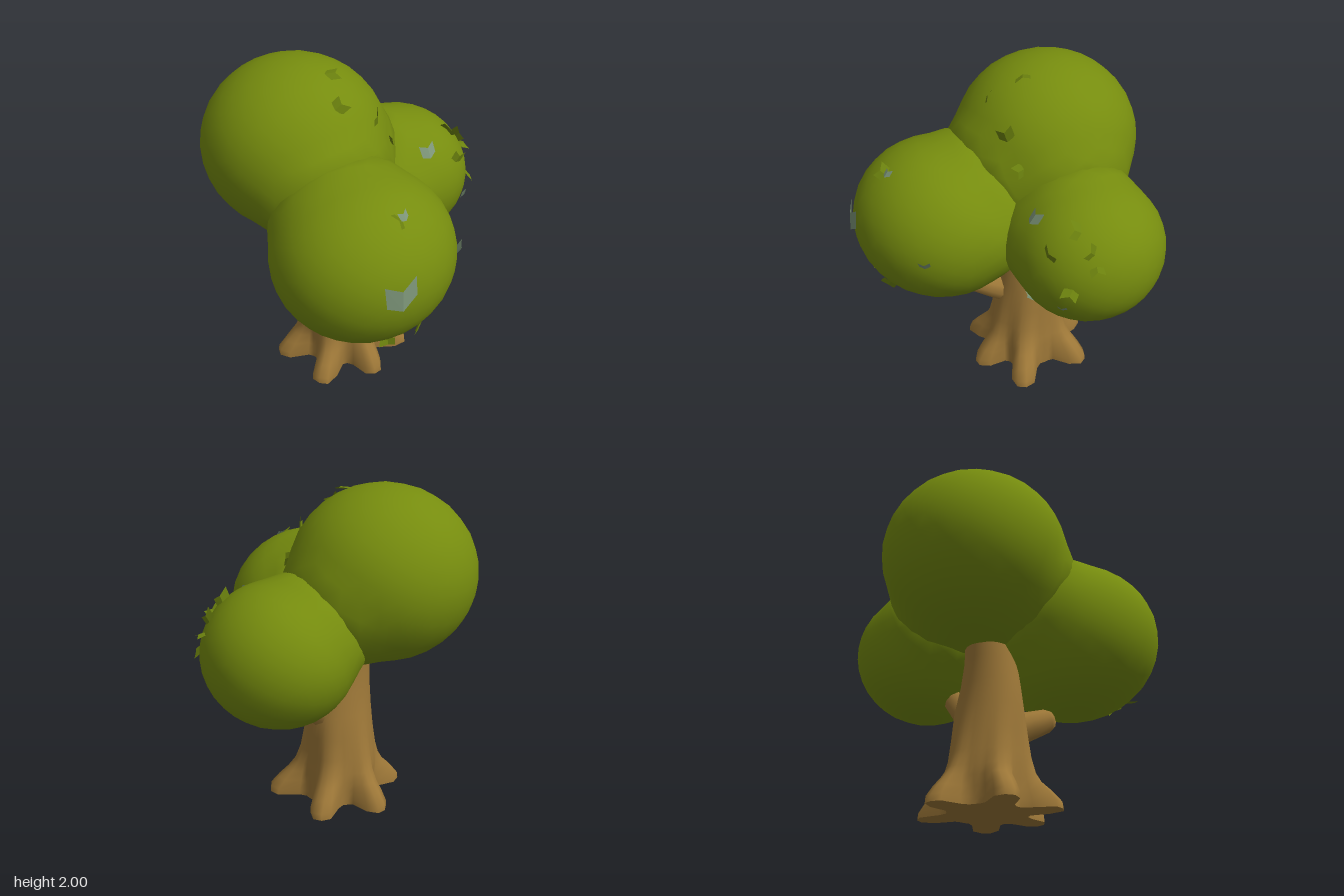
import * as THREE from 'three';
import { mergeVertices } from 'three/addons/utils/BufferGeometryUtils.js';

const material = (name, color, side = THREE.FrontSide) => {
  const m = new THREE.MeshStandardMaterial({ color, side });
  m.name = name;
  return m;
};

// The three crowns: centre and radii of each ellipsoid
const CROWNS = {
  top: { c: [-0.32, 1.49, 0.16], r: [0.55, 0.515, 0.55] },
  front: { c: [0.36, 1.115, 0.365], r: [0.51, 0.48, 0.535] },
  back: { c: [-0.05, 1.115, -0.47], r: [0.45, 0.42, 0.435] },
};

// Approximate distance from a point to a crown's surface
function crownDistance({ c, r }, p) {
  const q = Math.hypot(...[0, 1, 2].map((i) => (p.getComponent(i) - c[i]) / r[i]));
  return (q - 1) * (r[0] + r[1] + r[2]) / 3;
}

// Ball of foliage that swells where it meets its neighbours
function crownGeometry(crown) {
  let g = new THREE.IcosahedronGeometry(1, 5);
  g.deleteAttribute('uv');
  g.deleteAttribute('normal');
  g = mergeVertices(g, 1e-4);
  const pos = g.attributes.position;
  const others = Object.values(CROWNS).filter((o) => o !== crown);
  const p = new THREE.Vector3(), n = new THREE.Vector3();
  const reach = 0.2;
  for (let i = 0; i < pos.count; i++) {
    n.fromBufferAttribute(pos, i);
    p.copy(n).multiply(new THREE.Vector3(...crown.r)).add(new THREE.Vector3(...crown.c));
    let swell = 0;
    for (const o of others) {
      const h = Math.max(0, 1 - Math.abs(crownDistance(o, p)) / reach);
      swell += h * h * reach * 0.3;
    }
    p.addScaledVector(n, swell);
    pos.setXYZ(i, p.x, p.y, p.z);
  }
  g.computeVertexNormals();
  return g;
}

// Root directions in degrees (from +x towards +z) and their reach
const ROOTS = [[318, 0.44], [12, 0.40], [66, 0.43], [124, 0.42], [190, 0.41], [250, 0.42]];
// Trunk rings: y, centre x, centre z, radius x, radius z, strength of roots
const RINGS = [
  [0.01, -0.08, 0.06, 0.26, 0.26, 1], [0.05, -0.08, 0.06, 0.26, 0.26, 0.97],
  [0.11, -0.08, 0.06, 0.255, 0.25, 0.72], [0.17, -0.08, 0.06, 0.25, 0.24, 0.4],
  [0.23, -0.08, 0.065, 0.24, 0.235, 0.2], [0.32, -0.08, 0.07, 0.225, 0.225, 0.1],
  [0.45, -0.08, 0.07, 0.205, 0.22, 0.05], [0.6, -0.085, 0.075, 0.18, 0.215, 0],
  [0.75, -0.09, 0.09, 0.16, 0.185, 0], [0.9, -0.1, 0.1, 0.145, 0.16, 0],
  [1.12, -0.12, 0.1, 0.13, 0.14, 0],
];

function trunkGeometry() {
  const sides = 48, verts = [], index = [];
  for (const [y, cx, cz, rx, rz, strength] of RINGS) {
    for (let j = 0; j < sides; j++) {
      const a = (j / sides) * Math.PI * 2;
      let root = -0.03;
      for (const [deg, len] of ROOTS) {
        const d = Math.atan2(Math.sin(a - deg * Math.PI / 180), Math.cos(a - deg * Math.PI / 180));
        root += (len - 0.235) * Math.exp(-Math.pow(d / 0.27, 4));
      }
      verts.push(cx + Math.cos(a) * (rx + root * strength), y, cz + Math.sin(a) * (rz + root * strength));
    }
  }
  for (let i = 0; i < RINGS.length - 1; i++) {
    for (let j = 0; j < sides; j++) {
      const a = i * sides + j, b = i * sides + (j + 1) % sides;
      index.push(a, a + sides, b, b, a + sides, b + sides);
    }
  }
  // Underside with its own rim
  const rim = verts.length / 3;
  verts.push(...verts.slice(0, sides * 3), -0.08, 0.01, 0.06);
  for (let j = 0; j < sides; j++) index.push(rim + sides, rim + j, rim + (j + 1) % sides);
  const g = new THREE.BufferGeometry();
  g.setAttribute('position', new THREE.Float32BufferAttribute(verts, 3));
  g.setIndex(index);
  g.computeVertexNormals();
  return g;
}

// Blunt branch stub from one point to another
function branch(name, from, to, r0, r1, mat) {
  const a = new THREE.Vector3(...from), dir = new THREE.Vector3(...to).sub(a);
  const len = dir.length();
  const profile = [[r0, 0], [(r0 + r1) / 2, len * 0.5], [r1, len * 0.88], [r1 * 0.75, len * 0.98], [0, len]];
  const mesh = new THREE.Mesh(new THREE.LatheGeometry(profile.map((p) => new THREE.Vector2(...p)), 10), mat);
  mesh.name = name;
  mesh.position.copy(a);
  mesh.quaternion.setFromUnitVectors(new THREE.Vector3(0, 1, 0), dir.normalize());
  return mesh;
}

// Folded chevron leaf, lying in its xy plane
function leafGeometry() {
  const g = new THREE.BufferGeometry();
  g.setAttribute('position', new THREE.Float32BufferAttribute([
    0, -0.5, 0, 0.5, -0.15, -0.1, 0.5, 0.5, -0.05, 0, 0.15, 0.05, -0.5, 0.35, -0.05, -0.45, -0.35, -0.1,
  ], 3));
  g.setIndex([0, 1, 2, 0, 2, 3, 0, 3, 4, 0, 4, 5]);
  const flat = g.toNonIndexed();
  flat.computeVertexNormals();
  return flat;
}

// Leaves on the +x side: crown, z, y, size, tilt, pale
const LEAVES = [
  ['front', 0.61, 1.19, 0.18, 0, 1], ['front', 0.46, 1.49, 0.09, 0.6, 0],
  ['front', 0.42, 1.5, 0.06, 0.2, 1], ['front', 0.02, 1.13, 0.07, 0.5, 1],
  ['front', 0.56, 0.79, 0.09, 0.6, 0], ['front', 0.38, 0.81, 0.09, 0.5, 0],
  ['back', -0.36, 1.4, 0.1, 0.1, 1], ['back', -0.55, 1.3, 0.1, 0.7, 0],
  ['back', -0.73, 1.34, 0.09, 0.8, 0], ['back', -0.7, 1.12, 0.09, 0.7, 0],
  ['back', -0.65, 1.0, 0.06, 0.3, 1], ['back', -0.32, 0.84, 0.1, 0.1, 1],
  ['back', -0.62, 1.42, 0.1, 0.7, 0], ['back', -0.78, 1.26, 0.08, 0.8, 0],
  ['top', 0.22, 1.85, 0.09, 0.6, 0], ['top', 0.0, 1.72, 0.1, 0.5, 0],
  ['top', -0.12, 1.55, 0.08, 0.6, 0], ['top', 0.1, 1.95, 0.09, 0.4, 0],
];

export function createModel() {
  const bark = material('bark brown', 0x9e7838);
  const green = material('leaf green', 0x768c0e);
  const leafGreen = material('loose leaf green', 0x6c820e, THREE.DoubleSide);
  const pale = material('pale leaf grey', 0x7c9478, THREE.DoubleSide);
  const tree = new THREE.Group();
  tree.name = 'tree';

  // Trunk with roots and two stubs
  const trunk = new THREE.Mesh(trunkGeometry(), bark);
  trunk.name = 'trunk';
  tree.add(
    trunk,
    branch('sideBranch', [0, 0.49, 0.12], [0.25, 0.61, 0.28], 0.1, 0.07, bark),
    branch('backBranch', [-0.06, 0.54, -0.02], [-0.02, 0.84, -0.3], 0.1, 0.07, bark),
  );

  // Foliage
  for (const [name, crown] of Object.entries(CROWNS)) {
    const mesh = new THREE.Mesh(crownGeometry(crown), green);
    mesh.name = name + 'Crown';
    tree.add(mesh);
  }

  // Loose leaves set on the crown surfaces
  const leaf = leafGeometry();
  LEAVES.forEach(([name, z, y, size, tilt, isPale], i) => {
    const { c, r } = CROWNS[name];
    const v = (y - c[1]) / r[1], w = (z - c[2]) / r[2];
    const u = Math.sqrt(Math.max(0, 1 - v * v - w * w));
    const normal = new THREE.Vector3(u / r[0], v / r[1], w / r[2]).normalize();
    const mesh = new THREE.Mesh(leaf, isPale ? pale : leafGreen);
    mesh.name = isPale ? 'paleLeaf' : 'leaf';
    mesh.position.set(c[0] + u * r[0], y, z).addScaledVector(normal, 0.015);
    mesh.lookAt(mesh.position.clone().add(normal));
    if (!isPale) mesh.rotateZ(i * 1.7);
    mesh.rotateX(tilt);
    mesh.scale.setScalar(size);
    tree.add(mesh);
  });
  return tree;
}
